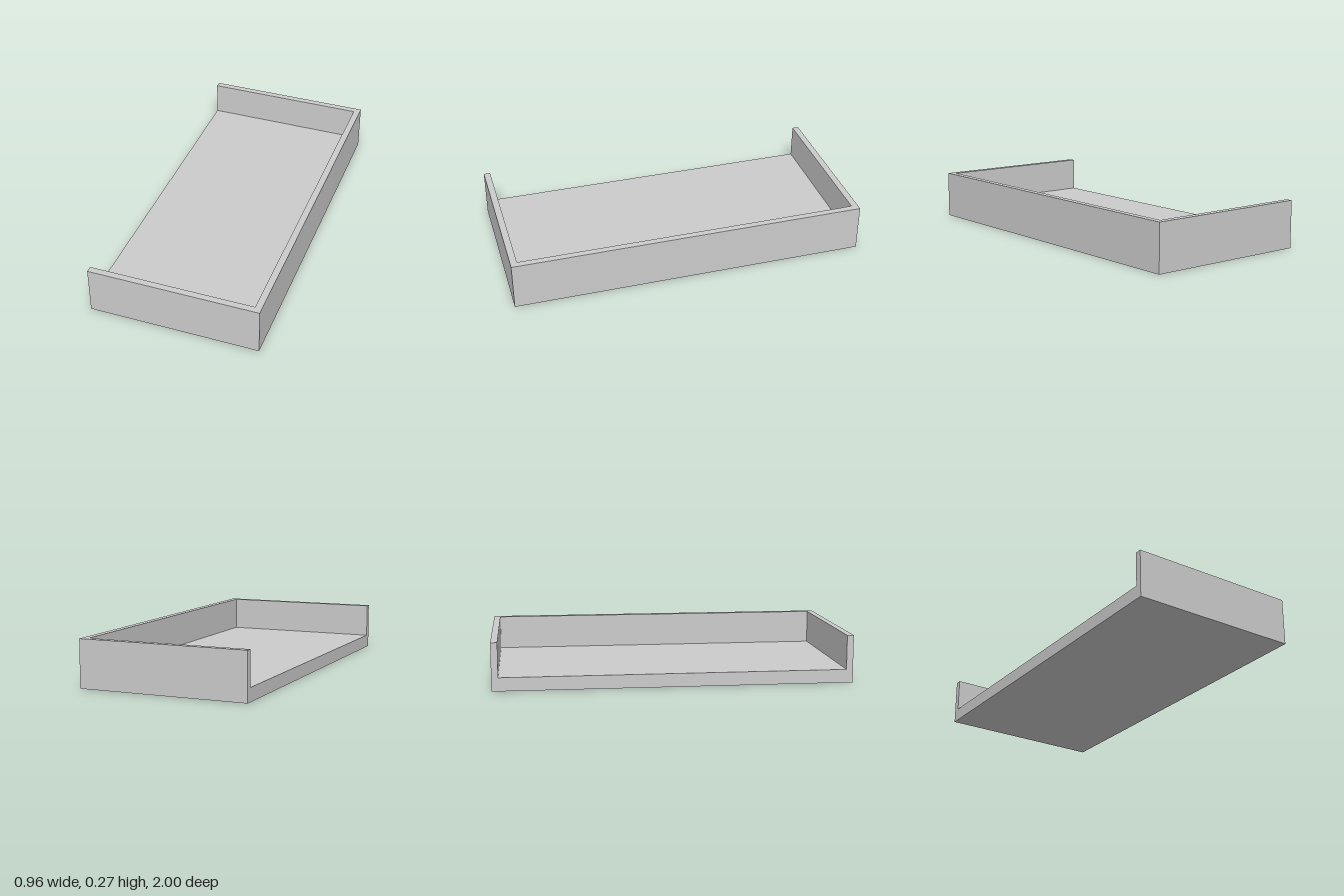
import * as THREE from 'three';

const WIDTH = 0.96, LENGTH = 2, HEIGHT = 0.267;
const BASE = 0.075; // thickness of the slab
const WALL = 0.037; // thickness of the panels

export function createModel() {
  const group = new THREE.Group();
  const material = new THREE.MeshStandardMaterial({ color: 0xcccccc });

  // box resting on the given height
  function addBox(name, w, h, d, x, bottom, z) {
    const mesh = new THREE.Mesh(new THREE.BoxGeometry(w, h, d), material);
    mesh.name = name;
    mesh.position.set(x, bottom + h / 2, z);
    group.add(mesh);
  }

  const wallHeight = HEIGHT - BASE;

  // solid base slab
  addBox('base', WIDTH, BASE, LENGTH, 0, 0, 0);

  // end panels across the full width
  for (const [name, side] of [['frontPanel', 1], ['backPanel', -1]]) {
    addBox(name, WIDTH, wallHeight, WALL, 0, BASE, side * (LENGTH - WALL) / 2);
  }

  // long panel between the ends; the opposite side stays open
  addBox('sidePanel', WALL, wallHeight, LENGTH - 2 * WALL, (WIDTH - WALL) / 2, BASE, 0);

  return group;
}
